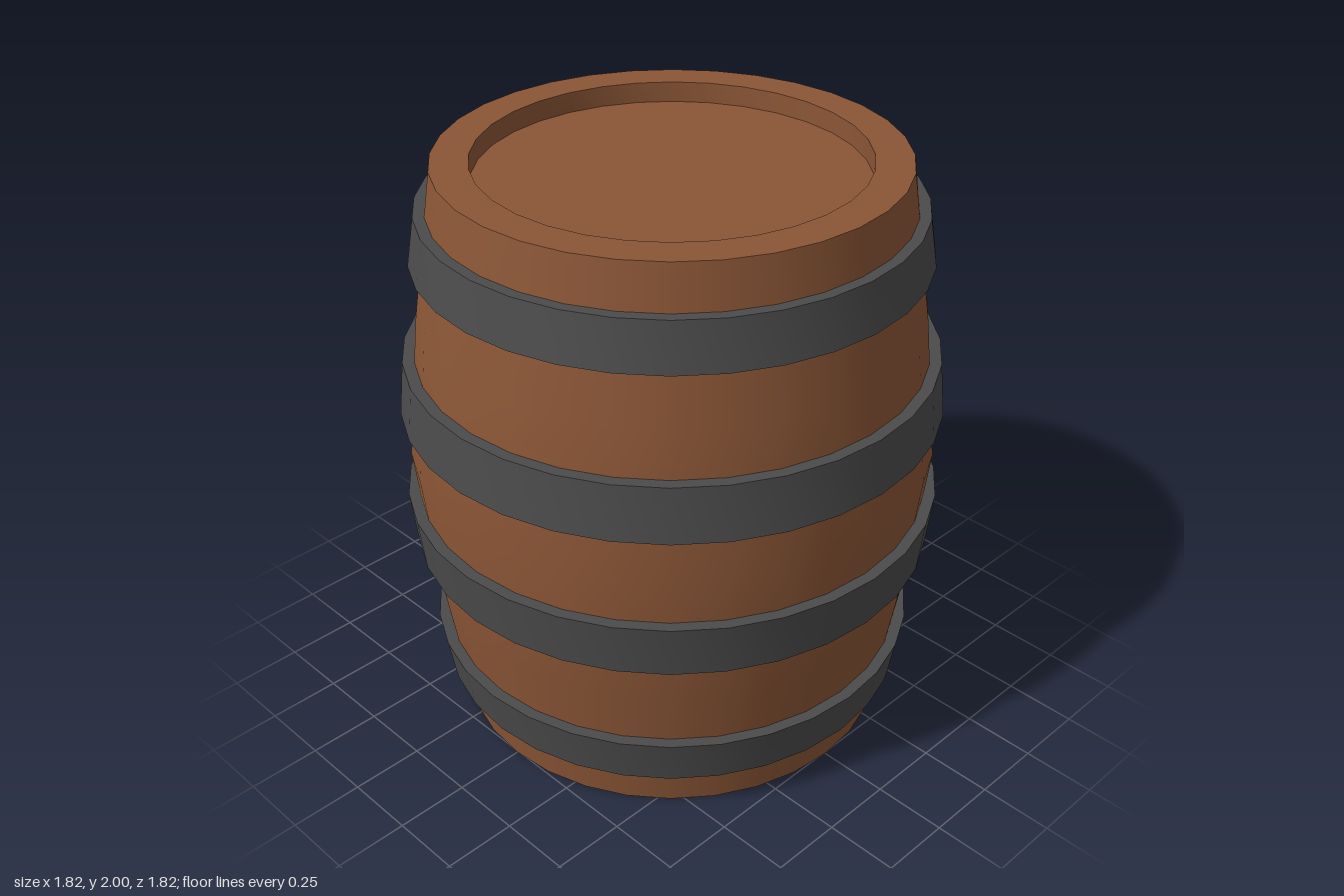
import * as THREE from 'three';
import { toCreasedNormals } from 'three/addons/utils/BufferGeometryUtils.js';

const SIDES = 32;

// Revolve a closed or pole-to-pole profile, listed counter-clockwise from the bottom up the outside
function turned(name, points, color) {
  const profile = points.map(([r, y]) => new THREE.Vector2(r, y));
  const geometry = toCreasedNormals(new THREE.LatheGeometry(profile, SIDES), 0.5);
  const mesh = new THREE.Mesh(geometry, new THREE.MeshStandardMaterial({ color }));
  mesh.name = name;
  return mesh;
}

export function createModel() {
  const group = new THREE.Group();
  group.name = 'barrel';

  // Wooden body with a recessed head at each end
  const rim = 0.755, head = 0.632, recess = 0.07;
  group.add(turned('body', [
    [0, recess], [head, recess], [head, 0], [rim, 0],
    [0.832, 0.5], [0.886, 1], [0.832, 1.5],
    [rim, 2], [head, 2], [head, 2 - recess], [0, 2 - recess],
  ], 0x8b5636));

  // Tapered iron hoops, mirrored about the middle: [bottom y, top y, bottom radius, top radius]
  const hoops = [
    ['endHoop', 0.148, 0.31, 0.815, 0.842],
    ['middleHoop', 0.653, 0.84, 0.888, 0.908],
  ];
  const depth = 0.06;
  for (const [name, y0, y1, r0, r1] of hoops) {
    const section = [
      [r0 - depth, y0], [r0, y0], [r1, y1], [r1 - depth, y1], [r0 - depth, y0],
    ];
    group.add(turned(name + 'Lower', section, 0x4b4b4b));
    const mirrored = section.map(([r, y]) => [r, 2 - y]).reverse();
    group.add(turned(name + 'Upper', mirrored, 0x4b4b4b));
  }
  return group;
}
